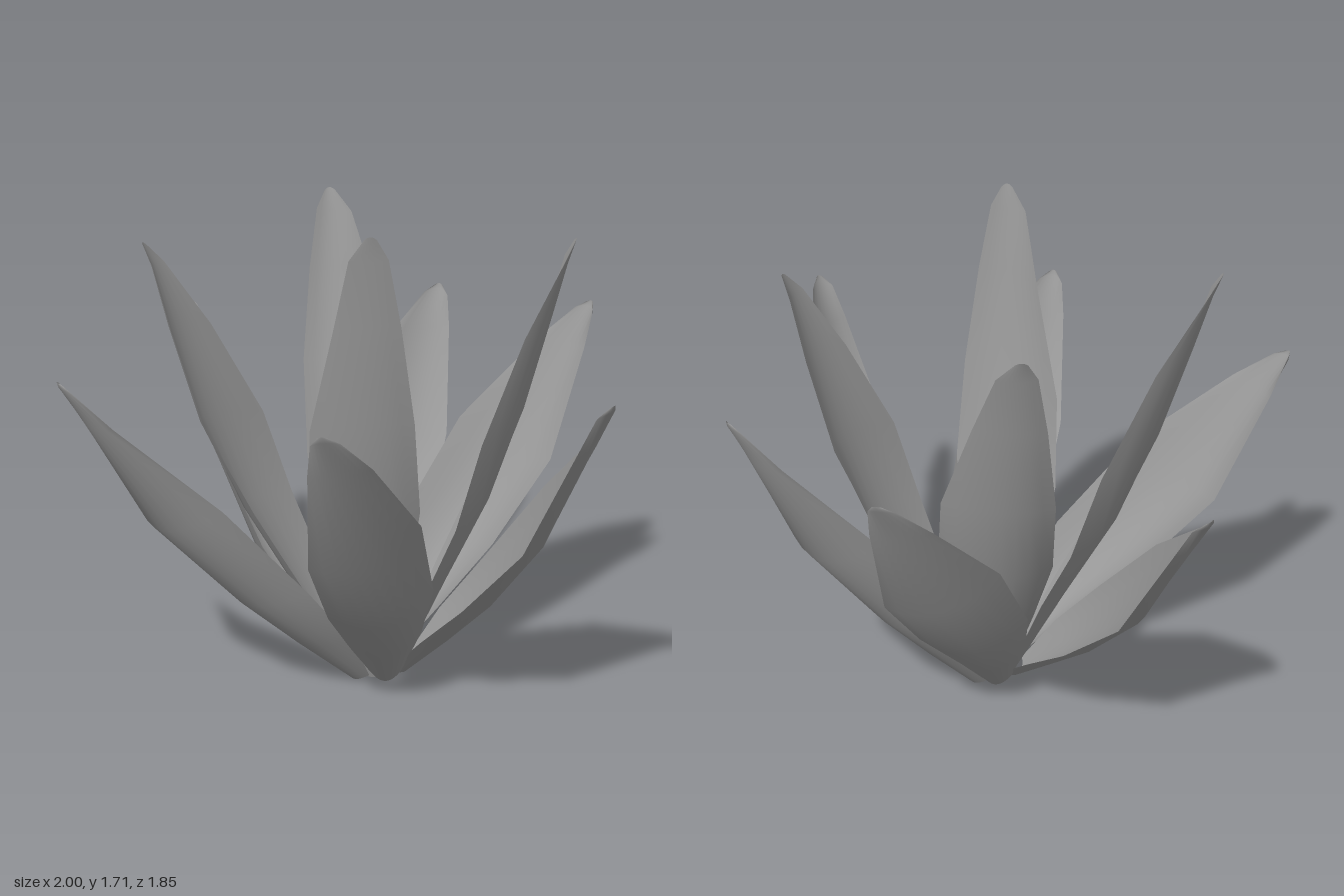
import * as THREE from 'three';

const material = new THREE.MeshStandardMaterial({ color: 0x999999, side: THREE.DoubleSide });

// Cross-sections from base to tip: [edge, ridge, other edge],
// each point being [distance outwards, height, sideways].
const OUTER = [
  [[0.08, 0.02, 0.0], [0.1, 0.0, -0.06], [0.06, 0.03, -0.11]],
  [[0.26, 0.2, 0.045], [0.27, 0.18, -0.1], [0.14, 0.22, -0.19]],
  [[0.47, 0.4, 0.08], [0.44, 0.37, -0.12], [0.29, 0.45, -0.25]],
  [[0.72, 0.68, 0.095], [0.67, 0.67, -0.09], [0.54, 0.78, -0.24]],
  [[0.89, 1.06, 0.06], [0.88, 1.05, -0.03], [0.83, 1.07, -0.13]],
  [[0.935, 1.17, 0.042], [0.96, 1.19, 0], [0.93, 1.18, -0.05]],
  [[0.96, 1.205, 0.015], [0.965, 1.21, 0], [0.955, 1.205, -0.015]],
];
const INNER = [
  [[0.08, 0.03, 0.05], [0.1, 0.01, 0], [0.08, 0.03, -0.06]],
  [[0.18, 0.38, 0.16], [0.27, 0.36, 0.01], [0.25, 0.38, -0.12]],
  [[0.27, 0.62, 0.215], [0.42, 0.66, 0.02], [0.4, 0.68, -0.16]],
  [[0.36, 0.93, 0.21], [0.53, 0.98, 0.03], [0.55, 1.0, -0.14]],
  [[0.52, 1.28, 0.125], [0.63, 1.32, 0.02], [0.64, 1.32, -0.095]],
  [[0.66, 1.52, 0.07], [0.69, 1.52, 0.01], [0.69, 1.53, -0.055]],
  [[0.71, 1.59, 0.02], [0.72, 1.6, 0], [0.715, 1.59, -0.02]],
];
const HEART = [
  [[0.0, 0.03, 0.05], [0.02, 0.02, 0], [0.0, 0.03, -0.05]],
  [[0.06, 0.35, 0.11], [0.13, 0.33, 0], [0.06, 0.35, -0.11]],
  [[0.1, 0.62, 0.09], [0.15, 0.64, 0], [0.1, 0.62, -0.09]],
  [[0.155, 0.9, 0.02], [0.16, 0.92, 0], [0.155, 0.9, -0.02]],
];
const ACROSS = 8;
const CENTRE_X = 0.035; // the root sits slightly off the middle

// A cupped leaf growing from the root, whose tip lands on (tipX, tipY, tipZ)
function leaf(name, sections, [tipX, tipY, tipZ]) {
  const reach = Math.hypot(tipX - CENTRE_X, tipZ);
  const dx = (tipX - CENTRE_X) / reach, dz = tipZ / reach;
  const [tipR, tipH] = sections[sections.length - 1][1];
  const [baseR] = sections[0][1];
  const stretch = (reach - baseR) / (tipR - baseR);
  const positions = [], index = [];

  sections.forEach((section, row) => {
    const [a, ridge, b] = section.map(([r, y, side]) => {
      const out = baseR + (r - baseR) * stretch;
      return new THREE.Vector3(CENTRE_X + dx * out - dz * side, y * tipY / tipH, dz * out + dx * side);
    });
    // Control point chosen so the arc passes through the ridge
    const control = ridge.clone().multiplyScalar(2).addScaledVector(a, -0.5).addScaledVector(b, -0.5);
    const arc = new THREE.QuadraticBezierCurve3(a, control, b);
    for (let i = 0; i <= ACROSS; i++) {
      positions.push(...arc.getPoint(i / ACROSS).toArray());
      if (row && i) {
        const p = row * (ACROSS + 1) + i, q = p - ACROSS - 1;
        index.push(q - 1, p - 1, q, q, p - 1, p);
      }
    }
  });

  const geometry = new THREE.BufferGeometry();
  geometry.setAttribute('position', new THREE.Float32BufferAttribute(positions, 3));
  geometry.setIndex(index);
  geometry.computeVertexNormals();
  const mesh = new THREE.Mesh(geometry, material);
  mesh.name = name;
  return mesh;
}

export function createModel() {
  const plant = new THREE.Group();
  plant.name = 'leafRosette';

  // Outer whorl of six spreading leaves
  [[1.0, 1.24, 0.36], [0.29, 1.21, 0.92], [-0.76, 1.19, 0.74],
    [-1.0, 1.18, -0.46], [-0.12, 1.21, -0.93], [0.55, 1.25, -0.78],
  ].forEach((tip, i) => plant.add(leaf(`outerLeaf${i + 1}`, OUTER, tip)));

  // Inner whorl of four upright leaves
  [[0.63, 1.58, -0.34], [-0.43, 1.62, -0.6], [-0.64, 1.59, 0.38], [0.24, 1.71, 0.475],
  ].forEach((tip, i) => plant.add(leaf(`innerLeaf${i + 1}`, INNER, tip)));

  // Small young leaves closing the heart
  [[-0.16, 0.92, 0.03], [0.04, 0.8, 0.09], [0.17, 0.76, 0.02], [0.05, 0.8, -0.15],
  ].forEach((tip, i) => plant.add(leaf(`heartLeaf${i + 1}`, HEART, tip)));

  return plant;
}
